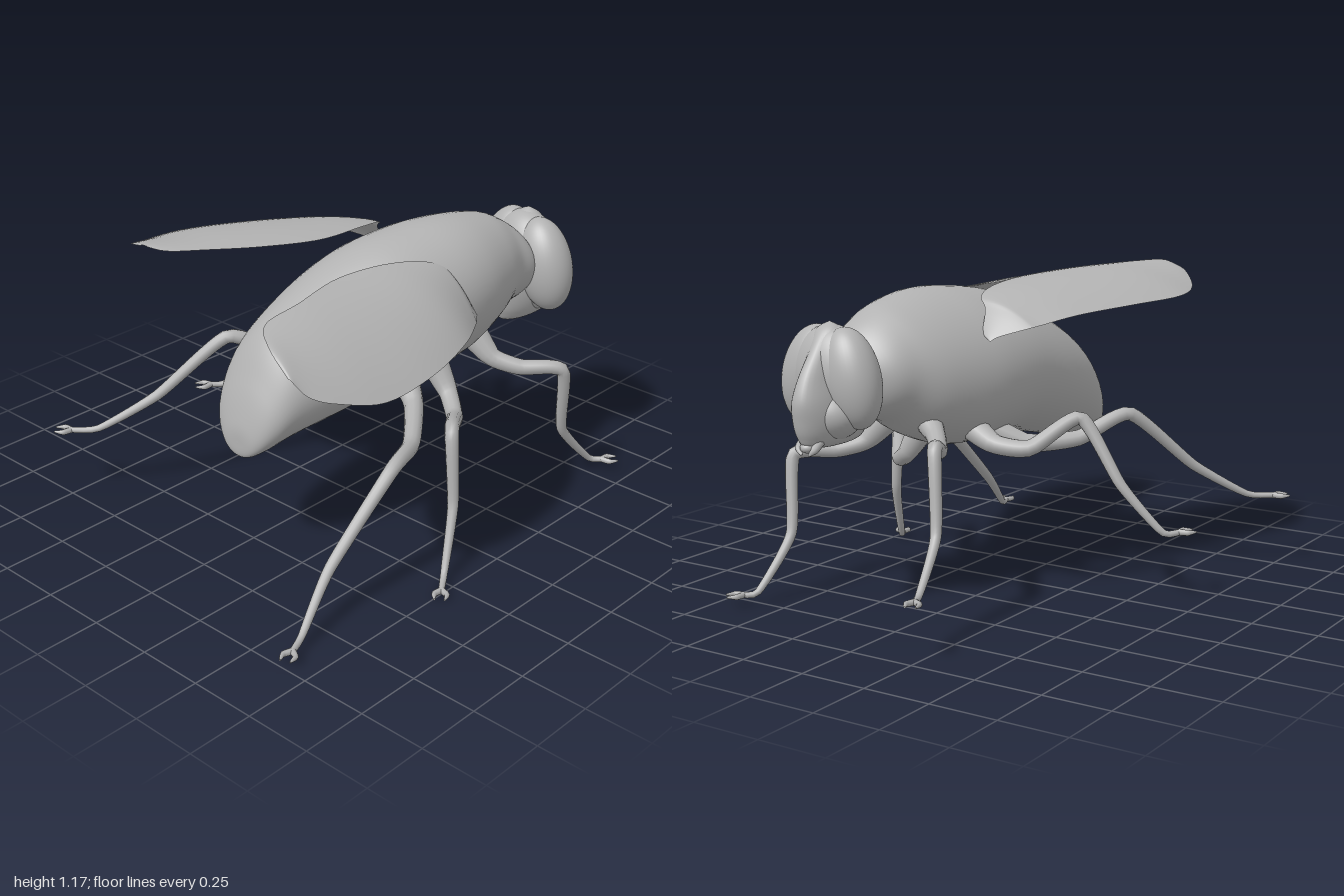
import * as THREE from 'three';

const V = (p) => new THREE.Vector3(...p);

// Smooth interpolation of every column of a section table
function sample(rows, t) {
  const f = t * (rows.length - 1), i = Math.min(Math.floor(f), rows.length - 2), u = f - i;
  const at = (k) => rows[Math.max(0, Math.min(rows.length - 1, k))];
  return rows[0].map((_, c) => {
    const a = at(i - 1)[c], b = at(i)[c], d = at(i + 1)[c], e = at(i + 2)[c];
    return b + 0.5 * u * (d - a + u * (2 * a - 5 * b + 4 * d - e + u * (3 * (b - d) + e - a)));
  });
}

function grid(rings, closed) {
  const n = rings[0].length, index = [];
  for (let i = 0; i < rings.length - 1; i++) {
    for (let j = 0; j < (closed ? n : n - 1); j++) {
      const k = (j + 1) % n, a = i * n + j, b = i * n + k, c = a + n, d = b + n;
      index.push(a, b, c, b, d, c);
    }
  }
  const g = new THREE.BufferGeometry();
  g.setAttribute('position', new THREE.Float32BufferAttribute(rings.flat(2), 3));
  g.setIndex(index);
  g.computeVertexNormals();
  return g;
}

// Closed rings through a section table; place(section, cos, sin) gives a point
function loft(rows, place, steps = 60, sides = 40) {
  const rings = [];
  for (let i = 0; i <= steps; i++) {
    const s = sample(rows, i / steps), ring = [];
    for (let j = 0; j < sides; j++) {
      const a = (j / sides) * Math.PI * 2;
      ring.push(place(s, Math.cos(a), Math.sin(a)));
    }
    rings.push(ring);
  }
  return grid(rings, true);
}

// Tube whose radius follows a list spread along its points
function taperedTube(points, radii, steps = 48, sides = 12) {
  const curve = new THREE.CatmullRomCurve3(points, false, 'catmullrom', 0.3);
  const g = new THREE.TubeGeometry(curve, steps, 1, sides, false);
  const pos = g.attributes.position, v = new THREE.Vector3();
  for (let i = 0; i <= steps; i++) {
    const c = curve.getPointAt(i / steps);
    const t = curve.getUtoTmapping(i / steps) * (radii.length - 1);
    const k = Math.min(Math.floor(t), radii.length - 2);
    const r = THREE.MathUtils.lerp(radii[k], radii[k + 1], t - k);
    for (let j = 0; j <= sides; j++) {
      const q = i * (sides + 1) + j;
      v.fromBufferAttribute(pos, q).sub(c).multiplyScalar(r).add(c);
      pos.setXYZ(q, v.x, v.y, v.z);
    }
  }
  return g;
}

export function createModel() {
  const model = new THREE.Group();
  model.name = 'fly';
  const grey = new THREE.MeshStandardMaterial({ color: 0xb2b2b2, side: THREE.DoubleSide });
  grey.name = 'grey';
  const add = (name, geometry, parent = model) => {
    const m = new THREE.Mesh(geometry, grey);
    m.name = name;
    parent.add(m);
    return m;
  };

  // Thorax and abdomen: x, centre y, centre z, half height, half width, lean to the left
  add('body', loft([
    [-0.657, 0.5, 0.095, 0, 0, 0.05],
    [-0.65, 0.51, 0.095, 0.065, 0.075, 0.05],
    [-0.6, 0.58, 0.092, 0.135, 0.143, 0.05],
    [-0.5, 0.675, 0.105, 0.205, 0.19, 0.05],
    [-0.3, 0.76, 0.14, 0.245, 0.25, 0.06],
    [-0.1, 0.825, 0.175, 0.27, 0.28, 0.09],
    [0.1, 0.84, 0.2, 0.288, 0.294, 0.13],
    [0.25, 0.845, 0.215, 0.285, 0.28, 0.16],
    [0.4, 0.86, 0.225, 0.247, 0.238, 0.16],
    [0.5, 0.875, 0.24, 0.198, 0.192, 0.14],
    [0.6, 0.865, 0.27, 0.13, 0.15, 0.1],
    [0.68, 0.86, 0.29, 0, 0, 0],
  ], (s, c, n) => {
    const narrow = 1 - 0.08 * Math.max(0, c) ** 2;
    return [s[0], s[1] + s[3] * c, s[2] + s[4] * n * narrow + s[5] * s[3] * c];
  }, 80, 48));

  // Head: cranium, eyes leaning together at the top, and a ridged face
  const head = new THREE.Group();
  head.name = 'head';
  model.add(head);
  const blob = (name, center, radii, tilt = 0) => {
    const m = add(name, new THREE.SphereGeometry(1, 40, 28), head);
    m.position.set(...center);
    m.scale.set(...radii);
    m.rotation.set(tilt, -0.12, 0);
  };
  blob('cranium', [0.69, 0.865, 0.3], [0.11, 0.183, 0.16]);
  blob('leftEye', [0.672, 0.862, 0.405], [0.098, 0.182, 0.115], -0.25);
  blob('rightEye', [0.702, 0.867, 0.203], [0.094, 0.18, 0.108], 0.25);
  blob('cheeks', [0.72, 0.74, 0.3], [0.115, 0.1, 0.135]);
  // y, front reach from x = 0.7, half width
  add('face', loft([
    [0.625, 0, 0], [0.633, 0.13, 0.05], [0.67, 0.165, 0.08], [0.73, 0.182, 0.092],
    [0.8, 0.187, 0.085], [0.88, 0.155, 0.065], [0.96, 0.097, 0.052],
    [1.03, 0.045, 0.05], [1.06, 0, 0],
  ], (s, c, n) => [0.7 + s[1] * n, s[0], 0.3 + s[2] * c], 48, 32), head);

  // Mouthparts
  for (const side of [-1, 1]) {
    add('mouthHook', taperedTube([
      V([0.81, 0.655, 0.3 + side * 0.035]), V([0.84, 0.63, 0.3 + side * 0.035]),
      V([0.848, 0.61, 0.3 + side * 0.015]),
    ], [0.018, 0.014, 0.004], 12, 8), head);
  }
  blob('proboscis', [0.83, 0.635, 0.3], [0.03, 0.02, 0.028]);

  // Wings: x, inner edge y and z, outer edge y and z, arched in between
  const wing = (name, rows, arch) => {
    const rings = [];
    for (let i = 0; i <= 48; i++) {
      const [x, y1, z1, y2, z2] = sample(rows, i / 48), ring = [];
      for (let j = 0; j <= 14; j++) {
        const t = j / 14, rise = arch * Math.abs(z2 - z1) * 4 * t * (1 - t);
        ring.push([x, y1 + (y2 - y1) * t + rise, z1 + (z2 - z1) * t]);
      }
      rings.push(ring);
    }
    add(name, grid(rings, false));
  };
  wing('leftWing', [
    [-0.88, 0.99, 0.575, 0.98, 0.6], [-0.85, 1.05, 0.46, 0.935, 0.64],
    [-0.77, 1.075, 0.365, 0.9, 0.685], [-0.6, 1.088, 0.347, 0.86, 0.737],
    [-0.36, 1.09, 0.3, 0.87, 0.732], [-0.13, 1.085, 0.335, 0.885, 0.675],
    [0.03, 1.055, 0.4, 0.875, 0.59], [0.08, 0.99, 0.46, 0.865, 0.555],
    [0.15, 0.85, 0.495, 0.847, 0.5],
  ], 0.12);
  wing('rightWing', [
    [-0.75, 1.175, -0.22, 1.17, -0.26], [-0.72, 1.17, -0.15, 1.145, -0.345],
    [-0.61, 1.165, -0.07, 1.095, -0.435], [-0.45, 1.155, 0.025, 1.075, -0.46],
    [-0.24, 1.14, 0.1, 1.062, -0.39], [-0.02, 1.125, 0.095, 1.04, -0.28],
    [0.11, 1.1, 0.065, 1.01, -0.195], [0.15, 1.06, 0.02, 1, -0.165],
    [0.21, 0.985, -0.01, 0.972, -0.08], [0.23, 0.957, -0.05, 0.955, -0.055],
  ], 0.09);

  // Legs run from hip to foot and end in a forked claw
  const legs = {
    leftFrontLeg: [[0.35, 0.66, 0.32], [0.38, 0.568, 0.4], [0.44, 0.535, 0.49], [0.55, 0.52, 0.605],
      [0.61, 0.24, 0.575], [0.77, 0.055, 0.6], [0.855, 0.045, 0.68]],
    leftMiddleLeg: [[0.16, 0.62, 0.28], [0.165, 0.49, 0.365], [0.09, 0.445, 0.46], [-0.11, 0.52, 0.61],
      [-0.14, 0.25, 0.65], [-0.24, 0.035, 0.7], [-0.36, 0.015, 0.78]],
    leftHindLeg: [[0.04, 0.62, 0.23], [-0.02, 0.505, 0.355], [-0.2, 0.46, 0.5], [-0.39, 0.47, 0.58],
      [-0.68, 0.2, 0.56], [-0.87, 0.045, 0.61], [-1, 0.035, 0.66]],
    rightFrontLeg: [[0.38, 0.71, 0.14], [0.435, 0.64, 0.045], [0.52, 0.605, -0.03], [0.66, 0.64, -0.11],
      [0.72, 0.36, -0.155], [0.88, 0.205, -0.2], [1, 0.2, -0.25]],
    rightMiddleLeg: [[0.21, 0.66, 0.08], [0.235, 0.585, -0.07], [0.19, 0.575, -0.2], [0.045, 0.675, -0.325],
      [0.02, 0.44, -0.48], [-0.04, 0.27, -0.62], [-0.14, 0.265, -0.7]],
    rightHindLeg: [[0.13, 0.64, 0.11], [0.02, 0.55, -0.07], [-0.12, 0.56, -0.22], [-0.28, 0.64, -0.35],
      [-0.5, 0.42, -0.51], [-0.67, 0.29, -0.66], [-0.78, 0.28, -0.79]],
  };
  for (const [name, path] of Object.entries(legs)) {
    const leg = new THREE.Group();
    leg.name = name;
    model.add(leg);
    const pts = path.map(V), tip = pts[6];
    const dir = tip.clone().sub(pts[5]).setY(0).normalize();
    const across = new THREE.Vector3(-dir.z, 0, dir.x);
    const ankle = tip.clone().addScaledVector(dir, -0.055);
    pts[6] = ankle;
    add('limb', taperedTube(pts, [0.06, 0.036, 0.031, 0.026, 0.02, 0.013, 0.011]), leg);
    for (const side of [-1, 1]) {
      add('claw', taperedTube([
        ankle.clone().addScaledVector(dir, -0.008),
        ankle.clone().addScaledVector(dir, 0.02).addScaledVector(across, side * 0.022),
        tip.clone().addScaledVector(across, side * 0.018),
      ], [0.012, 0.011, 0.003], 12, 8), leg);
    }
  }
  return model;
}
